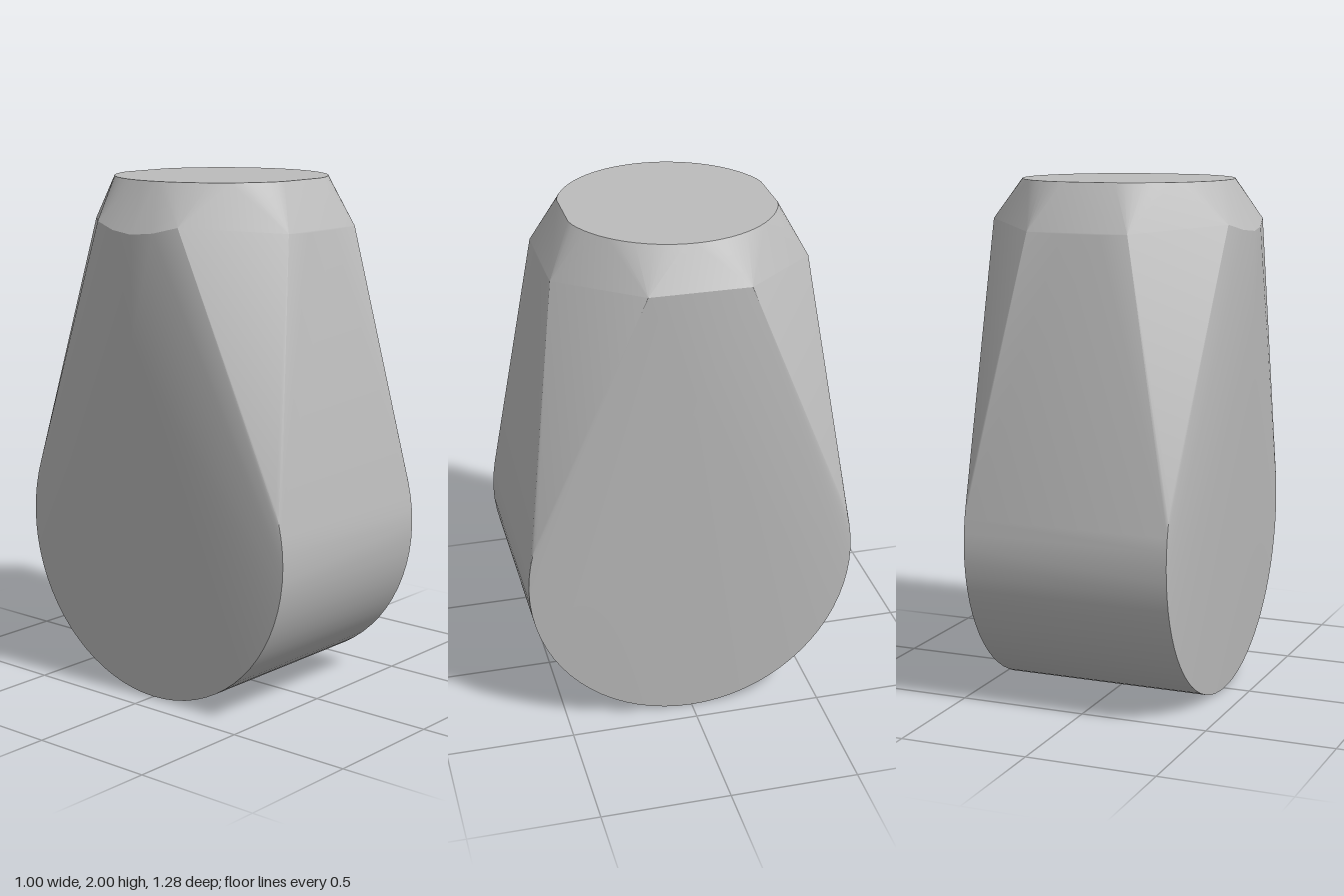
import * as THREE from 'three';
import { ConvexGeometry } from 'three/addons/geometries/ConvexGeometry.js';
import { toCreasedNormals } from 'three/addons/utils/BufferGeometryUtils.js';

export function createModel() {
  const group = new THREE.Group();
  const grey = new THREE.MeshStandardMaterial({ color: 0xbcbcbc });
  grey.name = 'plain grey';

  const points = [];
  const add = (x, y, z) => points.push(new THREE.Vector3(x, y, z));
  const addPair = (x, y, z) => { add(x, y, z); add(x, y, -z); };

  // Rounded base: the two end rims of a drum lying along x
  const drumSides = 72;
  for (let i = 0; i < drumSides; i++) {
    const a = (i / drumSides) * Math.PI * 2;
    const y = 0.64 - 0.64 * Math.cos(a), z = 0.64 * Math.sin(a);
    add(-0.395, y, z);
    add(0.42, y, z);
  }

  // Flat round top, trimmed straight at front and back
  const topSides = 72;
  for (let i = 0; i < topSides; i++) {
    const a = (i / topSides) * Math.PI * 2;
    const z = THREE.MathUtils.clamp(0.41 * Math.sin(a), -0.393, 0.393);
    add(0.0125 + 0.41 * Math.cos(a), 2, z);
  }

  // Shoulder: front and back ridges, then the side corners
  addPair(-0.18, 1.82, 0.485);
  addPair(-0.07, 1.815, 0.487);
  addPair(0.08, 1.815, 0.487);
  addPair(0.22, 1.82, 0.485);
  addPair(0.5, 1.845, 0.19);
  addPair(-0.465, 1.845, 0.2);
  addPair(-0.49, 1.82, 0.1);

  // Upright side lines under the shoulder
  add(-0.5, 1.81, 0);
  add(-0.5, 1.42, 0);
  add(0.5, 1.4, 0);

  const body = new THREE.Mesh(toCreasedNormals(new ConvexGeometry(points), 0.45), grey);
  body.name = 'body';
  group.add(body);
  return group;
}
